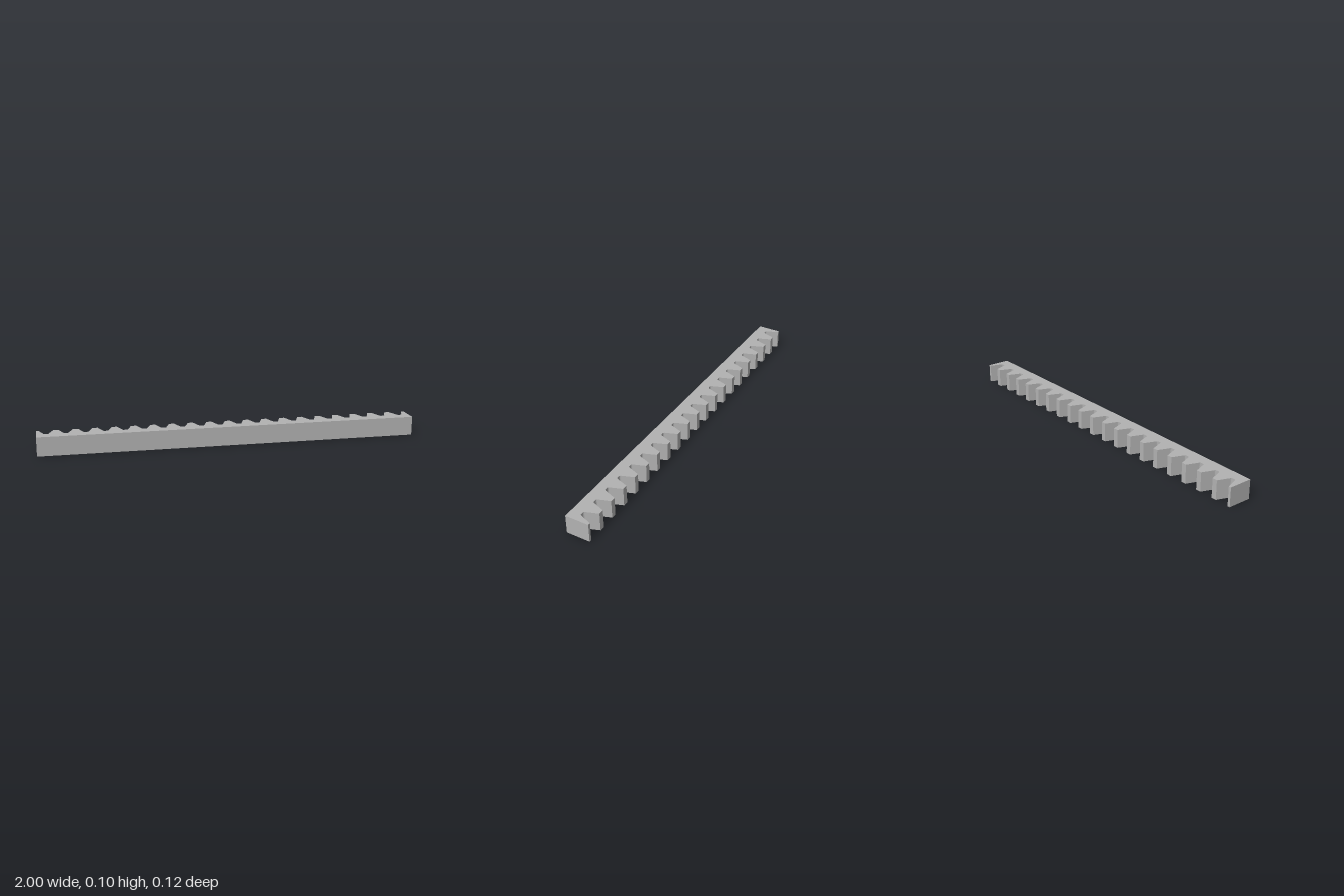
import * as THREE from 'three';

const PITCH = 0.1;                     // tooth spacing
const HEIGHT = 0.1;
const HALF_DEPTH = 0.0622;             // front face to tooth tips, halved
const SLOPE = Math.tan(Math.PI / 9);   // 20 degree tooth flanks
const MODULE = PITCH / Math.PI;
const TIP = HALF_DEPTH;                // profile y points to the back (-z)
const ROOT = TIP - 2.17 * MODULE;
const TIP_HALF = PITCH / 4 - MODULE * SLOPE;
const ROOT_HALF = TIP_HALF + (TIP - ROOT) * SLOPE;
const FILLET = 0.006;

// Toothed outline, walked from right to left along the back
function rackProfile() {
  const s = new THREE.Shape();
  s.moveTo(-1, -HALF_DEPTH);
  s.lineTo(1, -HALF_DEPTH);
  s.lineTo(1, TIP);
  for (let i = 0; i < 20; i++) {
    const right = 1 - i * PITCH;       // tooth before the gap
    const left = right - PITCH;        // tooth after the gap
    const a = right - ROOT_HALF, b = left + ROOT_HALF;
    s.lineTo(right - TIP_HALF, TIP);
    // Rounded corners at the root of the gap
    s.lineTo(a + FILLET * SLOPE, ROOT + FILLET);
    s.quadraticCurveTo(a, ROOT, a - FILLET, ROOT);
    s.lineTo(b + FILLET, ROOT);
    s.quadraticCurveTo(b, ROOT, b - FILLET * SLOPE, ROOT + FILLET);
    s.lineTo(left + TIP_HALF, TIP);
  }
  s.lineTo(-1, TIP);                   // half tooth at the end
  s.closePath();
  return s;
}

export function createModel() {
  const group = new THREE.Group();
  group.name = 'gearRack';
  const steel = new THREE.MeshStandardMaterial({ color: 0xb2b2b2 });
  steel.name = 'steel grey';

  // Straight bar with teeth along its back
  const geometry = new THREE.ExtrudeGeometry(rackProfile(), {
    depth: HEIGHT, bevelEnabled: false, curveSegments: 4,
  });
  geometry.rotateX(-Math.PI / 2);
  const rack = new THREE.Mesh(geometry, steel);
  rack.name = 'toothedBar';
  group.add(rack);
  return group;
}
